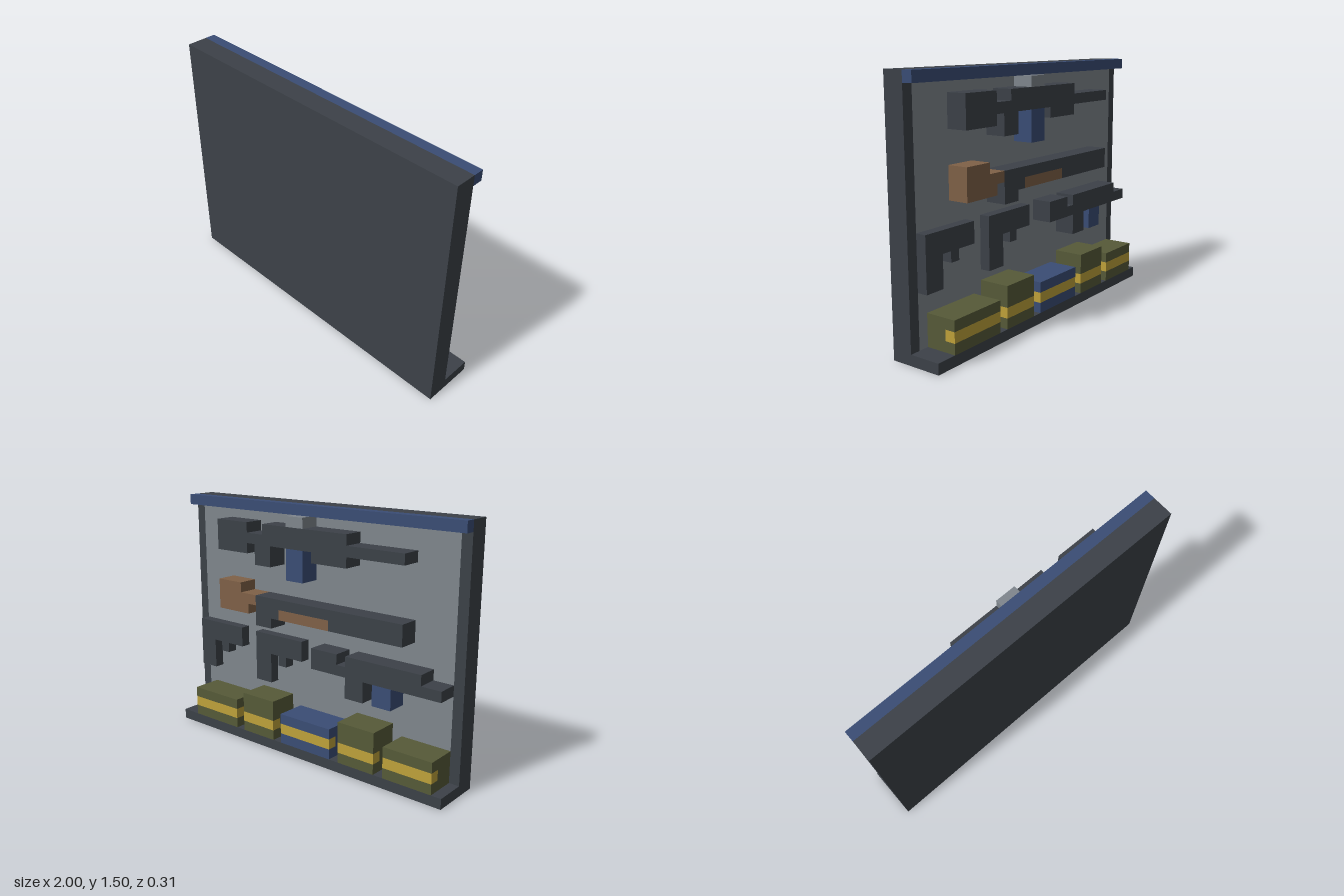
import * as THREE from 'three';

const U = 1 / 16; // grid step used by every block

const mat = (name, hex) => {
  const m = new THREE.MeshStandardMaterial({ color: hex });
  m.name = name;
  return m;
};

export function createModel() {
  const dark = mat('gunmetal', 0x3c4148);
  const grey = mat('steel grey', 0x7f868d);
  const blue = mat('navy blue', 0x3a4d75);
  const brown = mat('wood brown', 0x7f6147);
  const olive = mat('olive green', 0x565a38);
  const yellow = mat('band yellow', 0xbfa23a);

  const root = new THREE.Group();
  root.name = 'weaponRack';

  const group = (name) => {
    const g = new THREE.Group();
    g.name = name;
    root.add(g);
    return g;
  };

  // Block between grid coordinates: x 0..32, y 0..24, z 0 (back) .. 5 (front)
  const block = (parent, name, m, x0, x1, y0, y1, z0 = 1, z1 = 3) => {
    const mesh = new THREE.Mesh(new THREE.BoxGeometry((x1 - x0) * U, (y1 - y0) * U, (z1 - z0) * U), m);
    mesh.position.set(((x0 + x1) / 2 - 16) * U, ((y0 + y1) / 2) * U, ((z0 + z1) / 2 - 2.5) * U);
    mesh.name = name;
    parent.add(mesh);
  };

  // Outline on the grid, extruded in z, for stepped parts
  const outline = (parent, name, m, points, z0 = 1, z1 = 3) => {
    const shape = new THREE.Shape(points.map(([x, y]) => new THREE.Vector2((x - 16) * U, y * U)));
    const geo = new THREE.ExtrudeGeometry(shape, { depth: (z1 - z0) * U, bevelEnabled: false });
    const mesh = new THREE.Mesh(geo, m);
    mesh.position.z = (z0 - 2.5) * U;
    mesh.name = name;
    parent.add(mesh);
  };

  // Wall frame, display panel, shelf and top trim
  const wall = group('wall');
  block(wall, 'frontWall', dark, 0, 32, 0, 24, 4, 5);
  block(wall, 'rightPost', dark, 0, 1, 1, 24, 3, 4);
  block(wall, 'leftPost', dark, 31, 32, 1, 24, 3, 4);
  block(wall, 'topRail', dark, 1, 31, 23, 24, 3, 4);
  block(wall, 'displayPanel', grey, 1, 31, 1, 23, 3, 4);
  block(wall, 'shelf', dark, 0, 32, 0, 1, 0, 4);
  block(wall, 'topTrim', blue, 0, 32, 23, 24, 2, 3);

  // Top rifle: stock, neck, grip, receiver, handguard and barrel in one outline
  const rifle = group('rifle');
  outline(rifle, 'rifleBody', dark, [
    [27, 22], [23, 22], [23, 21], [21, 21], [21, 22], [11, 22], [11, 21], [5, 21], [5, 20], [11, 20],
    [11, 19], [15, 19], [15, 20], [20, 20], [20, 18], [22, 18], [22, 20], [23, 20], [23, 19], [27, 19],
  ]);
  block(rifle, 'rifleSight', grey, 16, 18, 22, 23);
  block(rifle, 'rifleMagazine', blue, 16, 18, 17, 20);

  // Long gun with wooden stock and fore-end
  const longGun = group('longGun');
  outline(longGun, 'woodStock', brown, [
    [27, 16], [24, 16], [24, 15], [22, 15], [22, 14], [23, 14], [23, 13], [27, 13],
  ]);
  outline(longGun, 'longGunBody', dark, [
    [22, 15], [5, 15], [5, 13], [13, 13], [13, 14], [19, 14], [19, 13], [20, 13], [20, 12], [22, 12],
  ]);
  block(longGun, 'woodForeEnd', brown, 13, 19, 13, 14);

  // Pair of thin pistols
  for (const [name, x] of [['leftPistol', 25], ['rightPistol', 17]]) {
    outline(group(name), 'pistolBody', dark, [
      [x + 6, 11], [x, 11], [x, 9], [x + 2, 9], [x + 2, 8], [x + 3, 8], [x + 3, 9],
      [x + 4, 9], [x + 4, 6], [x + 6, 6],
    ], 2, 3);
  }

  // Compact gun
  const compact = group('compactGun');
  outline(compact, 'compactBody', dark, [
    [15, 11], [12, 11], [12, 10], [11, 10], [11, 11], [3, 11], [3, 10], [1, 10], [1, 9],
    [9, 9], [9, 7], [11, 7], [11, 9], [15, 9],
  ]);
  block(compact, 'compactMagazine', blue, 6, 8, 7, 9);

  // Ammunition boxes on the shelf, each with a yellow band along its outer face
  const boxes = [
    [24, 30, 4, olive], [19, 23, 5, olive], [12, 18, 4, blue], [7, 11, 5, olive], [1, 6, 4, olive],
  ];
  boxes.forEach(([x0, x1, top, m], n) => {
    const g = group('ammoBox' + (n + 1));
    block(g, 'boxBase', m, x0, x1, 1, 2, 0, 3);
    block(g, 'boxCore', m, x0, x1, 2, 3, 1, 3);
    block(g, 'boxBand', yellow, x0, x1, 2, 3, 0, 1);
    block(g, 'boxTop', m, x0, x1, 3, top, 0, 3);
  });

  return root;
}
